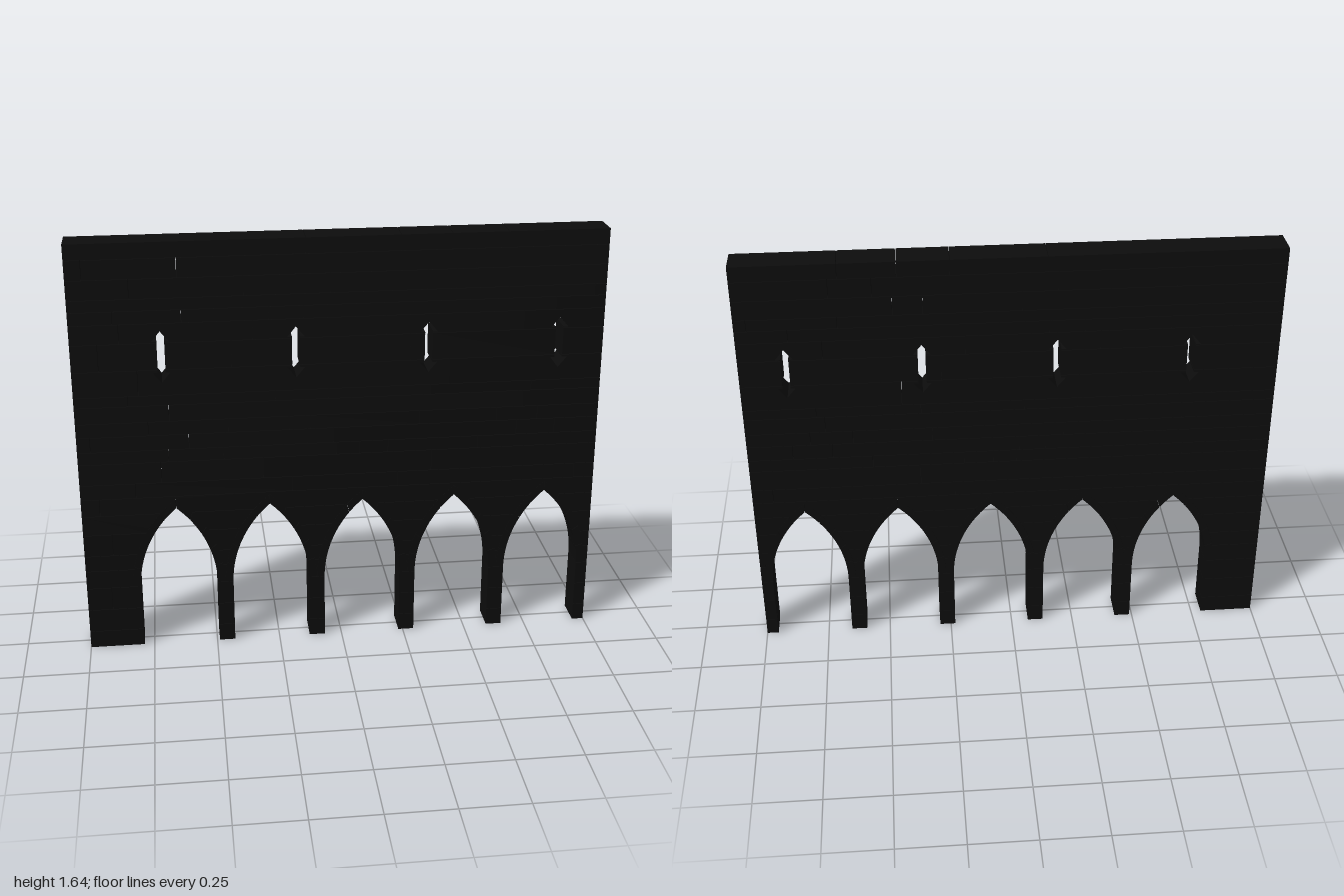
import * as THREE from 'three';
import { mergeGeometries } from 'three/addons/utils/BufferGeometryUtils.js';

const DEPTH = 0.113, GAP = 0.001; // GAP is half a mortar joint
const SPRING = 0.26, R = 0.438, OFF = 0.288, RING = 0.03; // pointed arch: radius, centre offset, ring
const ARCHES = [0, 1, 2, 3, 4].map(i => -0.64 + i * 0.3613);
const SLITS = [-0.67, -0.17, 0.33, 0.83];

// Courses of stone: bottom height and the x of the vertical joints
const COURSES = [
  [0, []], [0.07, []], [0.165, [-0.905]], [0.26, []], [0.335, []],
  [0.4, [-0.89]], [0.49, []], [0.57, [-0.93]],
  [0.64, [-0.79, -0.19, 0.22, 0.92]], [0.7, [-0.69, -0.3, 0.35]],
  [0.785, [-0.66, -0.45, -0.02, 0.07, 0.18, 0.53]],
  [0.835, [-0.95, -0.58, -0.13, -0.03, 0.68, 0.83]],
  [0.895, [-0.73, -0.43, -0.2, -0.12, 0.3, 0.6, 0.76]],
  [0.95, [-0.65, 0.7]], [1.015, [-0.8, -0.25, -0.05, 0.34, 0.73]],
  [1.055, [-0.76, 0.41]], [1.155, [-0.9, -0.41, 0.26]],
  [1.26, [-0.82, -0.33, 0.17, 0.69]], [1.335, [-0.84, -0.59, -0.27, -0.14, 0.81]],
  [1.385, [0.63, 0.955]], [1.43, [-0.775, -0.36, -0.04, 0.32, 0.43]],
  [1.505, [-0.94, -0.6, -0.17, 0.5, 0.655]], [1.58, [-0.13, 0.22, 0.41, 0.62]],
];
const TOP = 1.64;

// Openings as half-width profiles [y, halfWidth], from bottom to top
const jamb = [[0, 0.15], [SPRING, 0.15]];
const outerArch = [];
const apexAngle = r => Math.acos(OFF / r);
for (let i = 0; i <= 16; i++) {
  const r = R + RING, a = apexAngle(r) * i / 16;
  outerArch.push([SPRING + r * Math.sin(a), Math.max(0, r * Math.cos(a) - OFF)]);
}
const slit = [[1.105, 0], [1.145, 0.033], [1.145, 0.015], [1.265, 0.015], [1.265, 0.033], [1.305, 0]];
const OPENINGS = [
  ...ARCHES.flatMap(x => [{ x, profile: jamb }, { x, profile: outerArch }]),
  ...SLITS.map(x => ({ x, profile: slit })),
];

function halfWidthAt(profile, y) {
  for (let i = 1; i < profile.length; i++) {
    const [y0, w0] = profile[i - 1], [y1, w1] = profile[i];
    if (y >= y0 && y <= y1 && y1 > y0) return w0 + (w1 - w0) * (y - y0) / (y1 - y0);
  }
  return 0;
}

// Stone edge along an opening, between heights a and b
function openingEdge({ x, profile }, a, b, side) {
  const inner = profile.filter(([y]) => y > a + 1e-6 && y < b - 1e-6);
  return [[a, halfWidthAt(profile, a)], ...inner, [b, halfWidthAt(profile, b)]]
    .map(([y, w]) => new THREE.Vector2(x + side * w, y));
}

const straightEdge = (x, a, b) => [new THREE.Vector2(x, a), new THREE.Vector2(x, b)];

function extrude(points) {
  const geometry = new THREE.ExtrudeGeometry(new THREE.Shape(points), { depth: DEPTH, bevelEnabled: false });
  return geometry.translate(0, 0, -DEPTH / 2);
}

// All stones of one course, cut by joints and openings
function courseGeometry(bottom, top, joints) {
  const a = bottom > 0 ? bottom + GAP : 0, b = top < TOP ? top - GAP : TOP;
  const cutters = OPENINGS.filter(({ profile }) =>
    profile[0][0] < b && profile[profile.length - 1][0] > a + 0.002);
  const free = joints.filter(x => cutters.every(c => Math.abs(c.x - x) > 0.05));
  const cuts = [
    ...free.map(x => ({ x, left: straightEdge(x - GAP, a, b), right: straightEdge(x + GAP, a, b) })),
    ...cutters.map(c => ({ x: c.x, left: openingEdge(c, a, b, -1), right: openingEdge(c, a, b, 1) })),
  ].sort((p, q) => p.x - q.x);
  const stones = [];
  let start = straightEdge(-1, a, b);
  for (const cut of [...cuts, { left: straightEdge(1, a, b) }]) {
    stones.push(extrude([...cut.left, ...start.reverse()]));
    start = cut.right;
  }
  return mergeGeometries(stones);
}

// Wedge stones around one pointed arch
function archRingGeometry(cx) {
  const stones = [], count = 5, steps = 4;
  for (const side of [-1, 1]) {
    for (let i = 0; i < count; i++) {
      const arc = r => Array.from({ length: steps + 1 }, (_, k) => {
        const t = (i + 0.01 + 0.98 * k / steps) / count;
        const angle = apexAngle(r) * t;
        return new THREE.Vector2(cx + side * (r * Math.cos(angle) - OFF), SPRING + r * Math.sin(angle));
      });
      stones.push(extrude([...arc(R), ...arc(R + RING - 0.0005).reverse()]));
    }
  }
  return mergeGeometries(stones);
}

export function createModel() {
  const model = new THREE.Group();
  model.name = 'arcadeWall';
  const stone = new THREE.MeshStandardMaterial({ color: 0x0c0c0c });
  const add = (name, geometry) => {
    const mesh = new THREE.Mesh(geometry, stone);
    mesh.name = name;
    model.add(mesh);
  };

  // Wall courses, from the pier bases to the top
  COURSES.forEach(([bottom, joints], i) => {
    const top = i + 1 < COURSES.length ? COURSES[i + 1][0] : TOP;
    add(`stoneCourse${i + 1}`, courseGeometry(bottom, top, joints));
  });

  // Arch rings
  ARCHES.forEach((x, i) => add(`archRing${i + 1}`, archRingGeometry(x)));
  return model;
}
